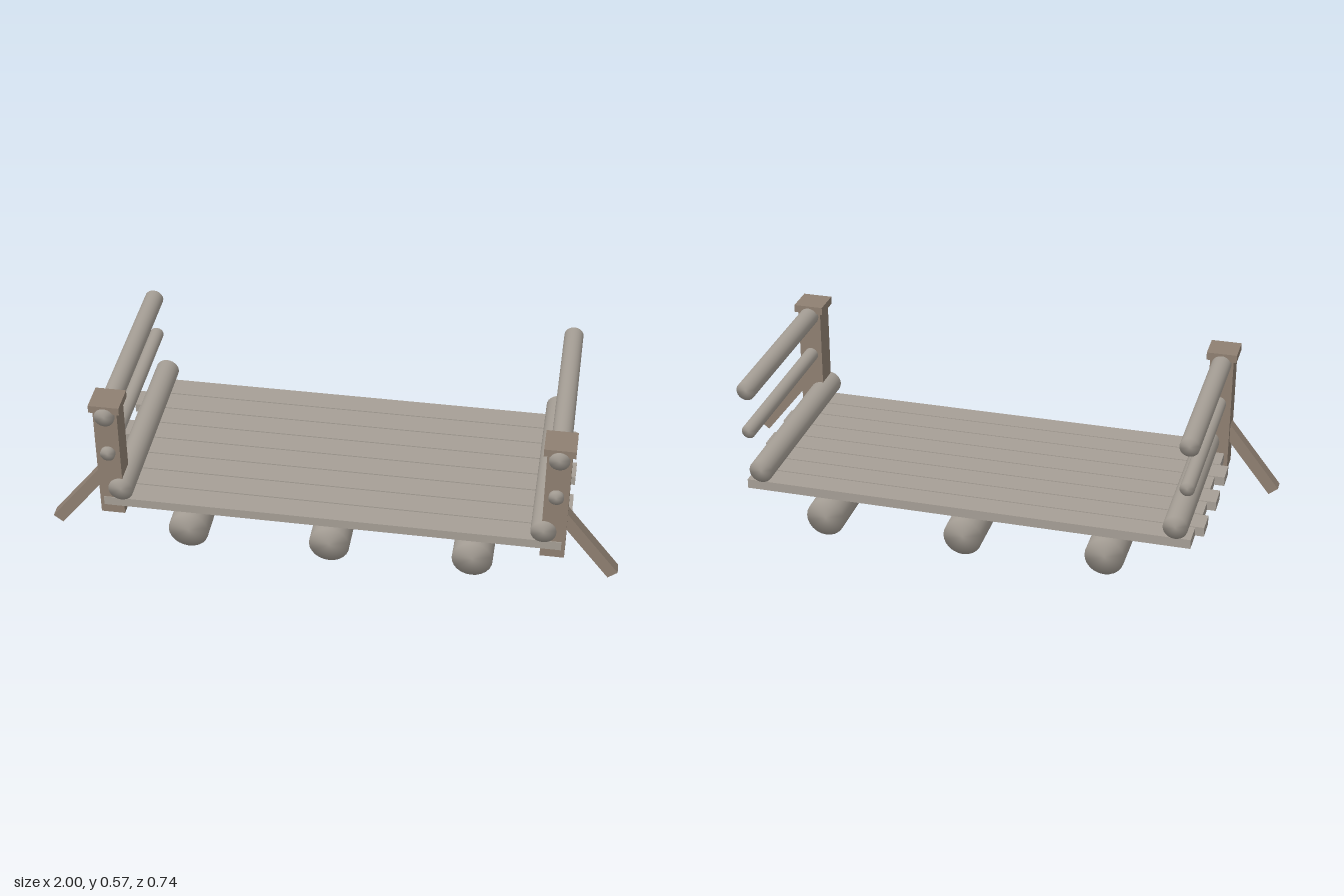
import * as THREE from 'three';
import { mergeVertices } from 'three/addons/utils/BufferGeometryUtils.js';

export function createModel() {
  const model = new THREE.Group();
  model.name = 'logBridge';
  const greyWood = new THREE.MeshStandardMaterial({ color: 0xa69f96 });
  greyWood.name = 'weathered grey wood';
  const brownWood = new THREE.MeshStandardMaterial({ color: 0x8f8072 });
  brownWood.name = 'brown post wood';

  function add(name, geometry, material, x, y, z) {
    const mesh = new THREE.Mesh(geometry, material);
    mesh.name = name;
    mesh.position.set(x, y, z);
    model.add(mesh);
    return mesh;
  }
  const box = (name, material, w, h, d, x, y, z) =>
    add(name, new THREE.BoxGeometry(w, h, d), material, x, y, z);

  // Log along z, shaded smoothly over its ends, slightly thinner at the back
  function log(name, radius, length, x, y) {
    let geometry = new THREE.CylinderGeometry(radius, radius * 0.97, length, 24);
    geometry.rotateX(Math.PI / 2);
    geometry.deleteAttribute('normal');
    geometry.deleteAttribute('uv');
    geometry = mergeVertices(geometry, 1e-4);
    geometry.computeVertexNormals();
    return add(name, geometry, greyWood, x, y, 0);
  }

  // Support logs under the deck
  for (const x of [-0.5, 0, 0.5]) log('supportLog', 0.071, 0.742, x, 0.074);

  // Deck planks with uneven ends
  const ends = [[-0.79, 0.79], [-0.82, 0.815], [-0.8, 0.8], [-0.83, 0.825],
    [-0.795, 0.8], [-0.83, 0.825], [-0.8, 0.795], [-0.8, 0.8]];
  const pitch = 0.0907;
  ends.forEach(([a, b], i) => {
    box('deckPlank', greyWood, b - a, 0.034, pitch - 0.005, (a + b) / 2, 0.163, (i - 3.5) * pitch);
  });

  for (const side of [-1, 1]) {
    // Railing logs
    log('kerbLog', 0.044, 0.728, side * 0.736, 0.222);
    log('middleRail', 0.026, 0.742, side * 0.77, 0.378);
    log('topRail', 0.035, 0.742, side * 0.771, 0.535);

    // Post with cap
    box('post', brownWood, 0.084, 0.44, 0.087, side * 0.771, 0.332, 0.314);
    box('postCap', brownWood, 0.107, 0.028, 0.107, side * 0.771, 0.564, 0.314);

    // Slanted brace from the post down to the outside
    const brace = box('brace', brownWood, 0.042, 0.325, 0.043, side * 0.883, 0.164, 0.314);
    brace.rotation.z = side * 0.668;
  }
  return model;
}
